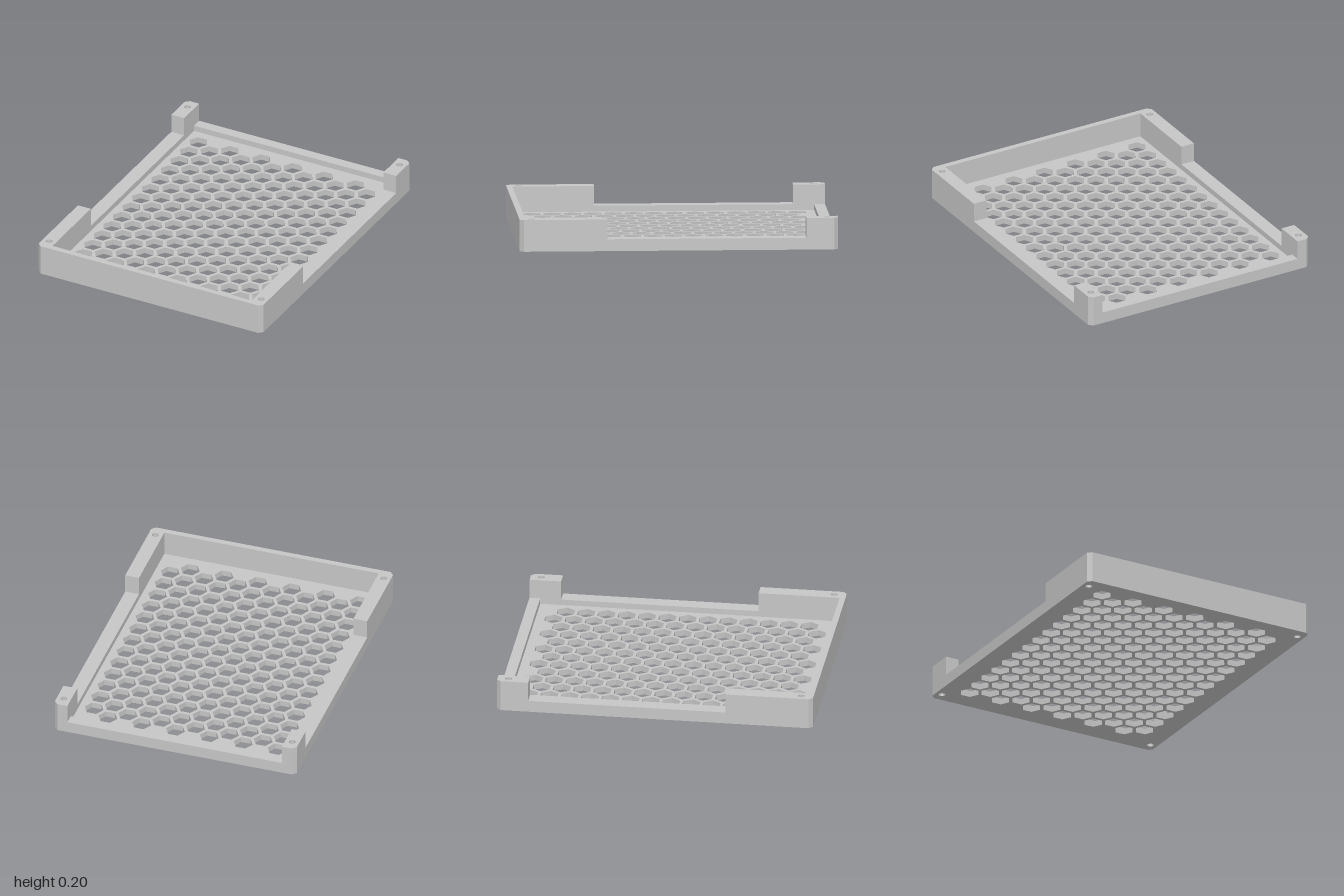
import * as THREE from 'three';

const W = 0.798, L = 1, C = 0.025;            // half width, half length, corner chamfer
const IN_X = 0.707, BACK = -0.932, FRONT = 0.9625; // inner faces of the walls
const FLOOR = 0.0375, RIM = 0.075, TOP = 0.2; // heights

// Plan coordinates are [x, z]; the shape's y is -z so that it lies flat after rotation.
// Outlines are made counter-clockwise and holes clockwise so that all walls face outwards.
function toPoints(pts, clockwise) {
  const points = pts.map(([x, z]) => new THREE.Vector2(x, -z));
  return THREE.ShapeUtils.isClockWise(points) === clockwise ? points : points.reverse();
}

const screwHoles = [[-0.753, -0.931], [0.753, -0.931], [-0.753, 0.922], [0.753, 0.922]];

function ring(x, z, r, sides) {
  return Array.from({ length: sides }, (_, i) => {
    const a = (i / sides) * Math.PI * 2;
    return [x + r * Math.cos(a), z + r * Math.sin(a)];
  });
}

const screwRing = ([x, z]) => ring(x, z, 0.0215, 24);

function slab(name, outline, holes, y0, y1, material) {
  const shape = new THREE.Shape(toPoints(outline, false));
  holes.forEach((h) => shape.holes.push(new THREE.Path(toPoints(h, true))));
  const geometry = new THREE.ExtrudeGeometry(shape, { depth: y1 - y0, bevelEnabled: false });
  geometry.rotateX(-Math.PI / 2);
  geometry.translate(0, y0, 0);
  const mesh = new THREE.Mesh(geometry, material);
  mesh.name = name;
  return mesh;
}

export function createModel() {
  const group = new THREE.Group();
  group.name = 'ventedTray';
  const grey = new THREE.MeshStandardMaterial({ color: 0xc6c6c6 });
  grey.name = 'grey plastic';

  const outline = [
    [-W + C, -L], [W - C, -L], [W, -L + C], [W, L - C],
    [W - C, L], [-W + C, L], [-W, L - C], [-W, -L + C],
  ];

  // Honeycomb: twelve staggered columns of 14 and 13 hexagons
  const pitch = 0.1284, hexes = [];
  for (let col = 0; col < 12; col++) {
    const odd = col % 2;
    for (let row = 0; row < 14 - odd; row++) {
      hexes.push(ring(-0.616 + col * 0.1115, -0.82 + (row + odd / 2) * pitch, 0.0622, 6));
    }
  }

  // Perforated floor
  group.add(slab('floor', outline, [...hexes, ...screwHoles.map(screwRing)], 0, FLOOR, grey));

  // Low rim all the way round
  const inner = [[-IN_X, BACK], [IN_X, BACK], [IN_X, FRONT], [-IN_X, FRONT]];
  group.add(slab('rim', outline, [inner, ...screwHoles.map(screwRing)], FLOOR, RIM, grey));

  // Tall front wall with short side returns
  const frontWall = [
    [-W, 0.45], [-IN_X, 0.45], [-IN_X, FRONT], [IN_X, FRONT], [IN_X, 0.45], [W, 0.45],
    [W, L - C], [W - C, L], [-W + C, L], [-W, L - C],
  ];
  group.add(slab('frontWall', frontWall, screwHoles.slice(2).map(screwRing), RIM, TOP, grey));

  // Rear corner posts
  for (const s of [-1, 1]) {
    const post = [[IN_X, -L], [W - C, -L], [W, -L + C], [W, -0.8], [IN_X, -0.8]]
      .map(([x, z]) => [s * x, z]);
    const hole = screwRing(screwHoles[s < 0 ? 0 : 1]);
    group.add(slab(s > 0 ? 'leftRearPost' : 'rightRearPost', post, [hole], RIM, TOP, grey));
  }
  return group;
}
